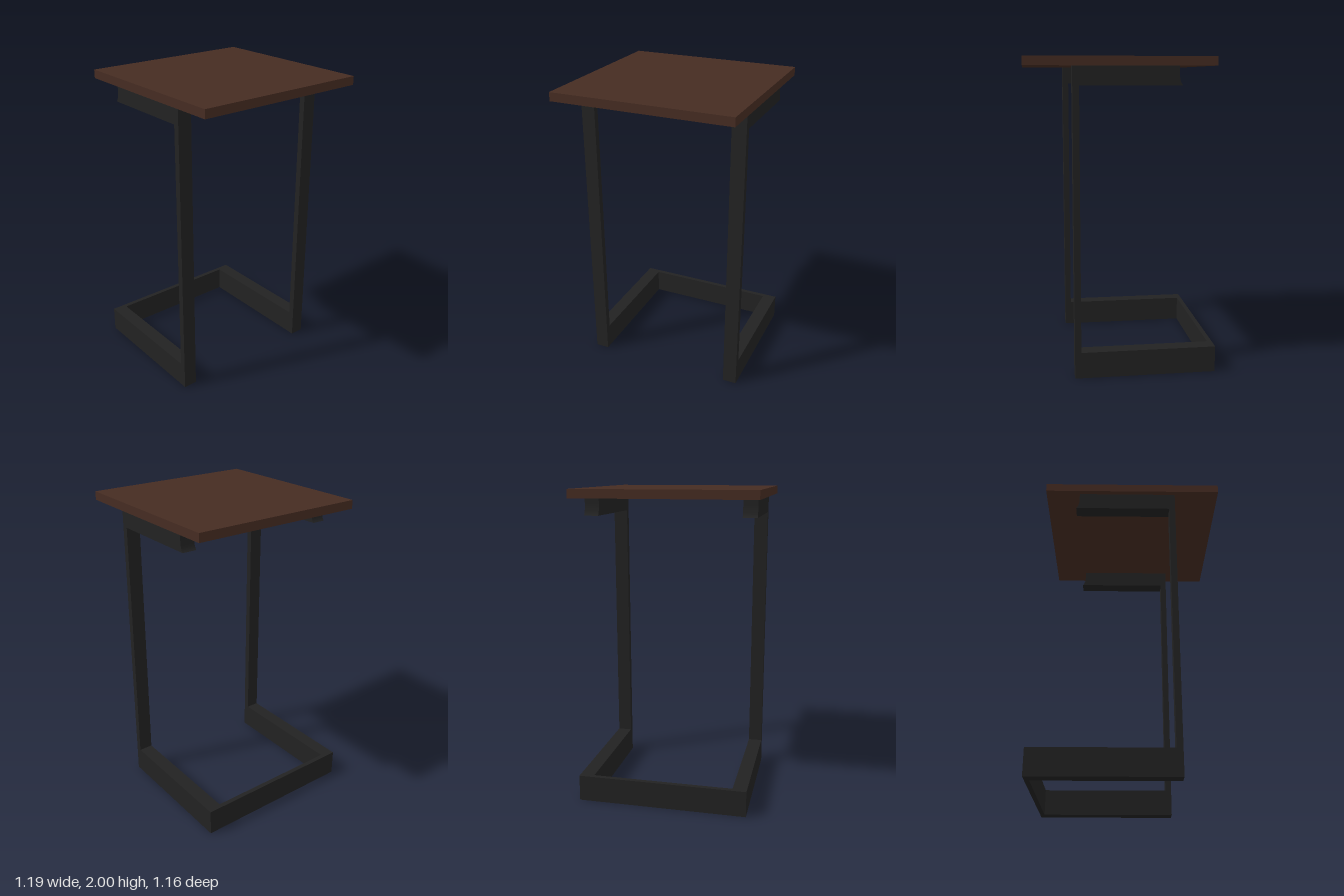
import * as THREE from 'three';

export function createModel() {
  const model = new THREE.Group();
  model.name = 'sideTable';
  const wood = new THREE.MeshStandardMaterial({ color: 0x462c22 });
  wood.name = 'dark walnut';
  const metal = new THREE.MeshStandardMaterial({ color: 0x222222 });
  metal.name = 'black metal';

  // Box given by its lower and upper corners
  function box(name, material, [x0, y0, z0], [x1, y1, z1], parent = model) {
    const mesh = new THREE.Mesh(new THREE.BoxGeometry(x1 - x0, y1 - y0, z1 - z0), material);
    mesh.position.set((x0 + x1) / 2, (y0 + y1) / 2, (z0 + z1) / 2);
    mesh.name = name;
    parent.add(mesh);
  }

  box('tableTop', wood, [-0.56, 1.945, -0.58], [0.595, 2, 0.577]);

  // Support arm profile, with a scooped free end
  const profile = new THREE.Shape();
  profile.moveTo(0.265, 1.83);
  profile.lineTo(0.265, 1.945);
  profile.lineTo(-0.336, 1.945);
  profile.lineTo(-0.336, 1.9);
  profile.quadraticCurveTo(-0.337, 1.85, -0.357, 1.83);
  profile.closePath();

  // Two C-shaped side frames
  const sides = [['frontFrame', 0.453, 0.544], ['backFrame', -0.55, -0.457]];
  for (const [name, z0, z1] of sides) {
    const frame = new THREE.Group();
    frame.name = name;
    box('leg', metal, [0.265, 0, z0], [0.305, 1.945, z1], frame);
    box('baseRail', metal, [-0.57, 0, z0], [0.265, 0.17, z1], frame);
    const arm = new THREE.Mesh(
      new THREE.ExtrudeGeometry(profile, { depth: z1 - z0, bevelEnabled: false, curveSegments: 8 }), metal);
    arm.position.z = z0;
    arm.name = 'supportArm';
    frame.add(arm);
    model.add(frame);
  }

  // Bar joining the two base rails
  box('crossBar', metal, [-0.6, 0, -0.55], [-0.57, 0.17, 0.544]);

  return model;
}
